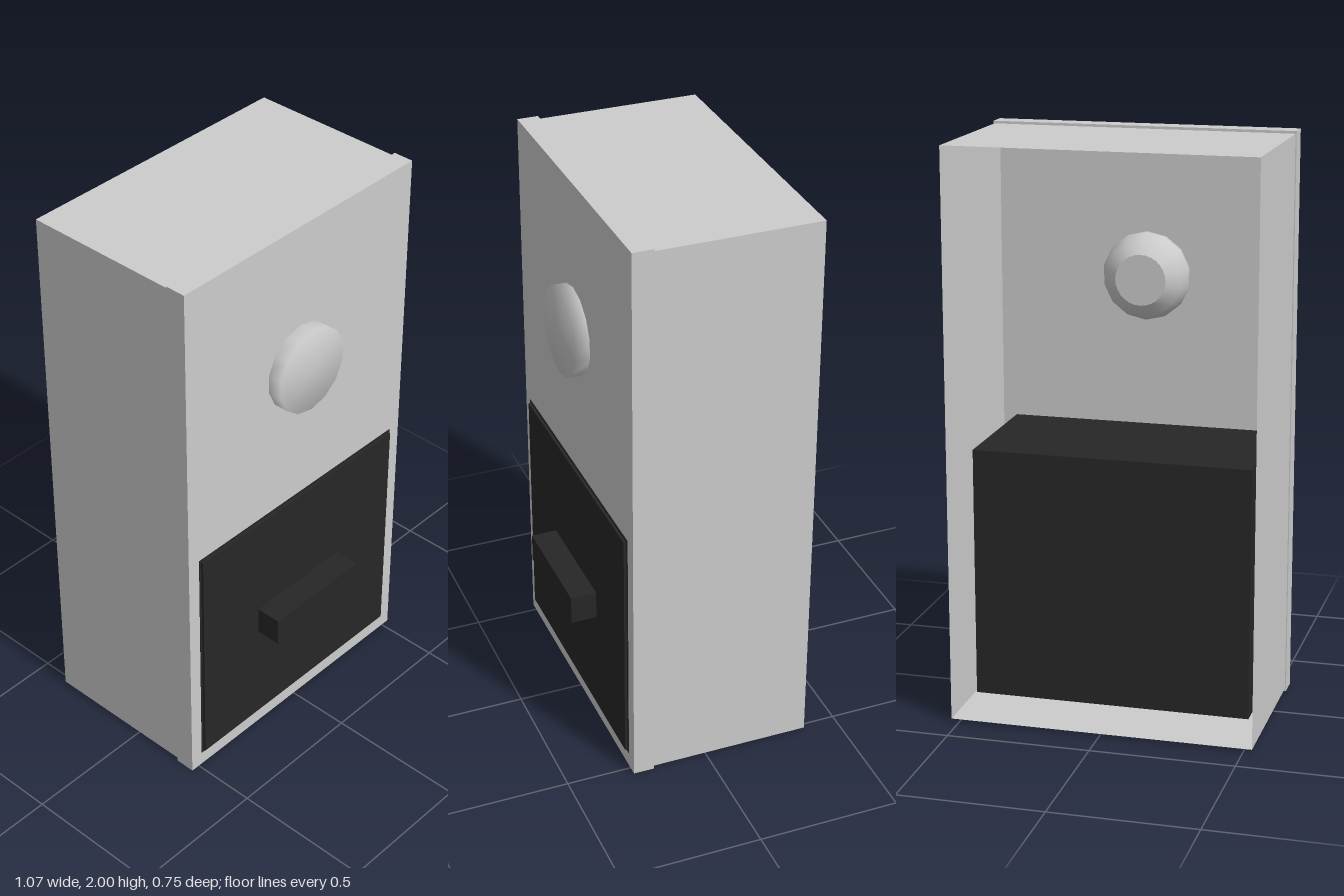
import * as THREE from 'three';

const grey = new THREE.MeshStandardMaterial({ color: 0xcccccc, side: THREE.DoubleSide });
grey.name = 'cabinet grey';
const black = new THREE.MeshStandardMaterial({ color: 0x272727 });
black.name = 'drawer black';

function mesh(name, geometry, material) {
  const m = new THREE.Mesh(geometry, material);
  m.name = name;
  return m;
}

// Box given by its half width and its y and z ranges; keeps the first `faces` sides
// in the order +x, -x, +y, -y, +z, -z.
function box(halfWidth, y0, y1, z0, z1, faces = 6) {
  const g = new THREE.BoxGeometry(halfWidth * 2, y1 - y0, z1 - z0);
  g.translate(0, (y0 + y1) / 2, (z0 + z1) / 2);
  g.setIndex(Array.from(g.index.array).slice(0, faces * 6));
  g.clearGroups();
  return g;
}

// Flat rectangular path, for the rim and its opening
function rectangle(path, w, y0, y1) {
  path.moveTo(-w, y0);
  path.lineTo(w, y0);
  path.lineTo(w, y1);
  path.lineTo(-w, y1);
  path.closePath();
  return path;
}

export function createModel() {
  const model = new THREE.Group();
  model.name = 'cabinet';

  // Thin-walled body, open at the back, with a slightly larger front cover
  model.add(mesh('bodyShell', box(0.529, 0.009, 1.991, -0.374, 0.197, 4), grey));
  model.add(mesh('frontCover', box(0.533, 0, 2, 0.197, 0.27, 5), grey));
  const rim = rectangle(new THREE.Shape(), 0.533, 0, 2);
  rim.holes.push(rectangle(new THREE.Path(), 0.529, 0.009, 1.991));
  const rimGeometry = new THREE.ShapeGeometry(rim);
  rimGeometry.translate(0, 0, 0.197);
  model.add(mesh('coverRim', rimGeometry, grey));

  // Drawer: deep box behind the cover, a thin border and a raised front
  const drawer = new THREE.Group();
  drawer.name = 'drawer';
  drawer.add(mesh('drawerBox', box(0.485, 0.055, 0.935, -0.227, 0.272), black));
  drawer.add(mesh('drawerFront', box(0.477, 0.065, 0.926, 0.27, 0.281), black));
  const handle = box(0.206, 0.445, 0.548, 0.275, 0.372);
  drawer.add(mesh('drawerHandle', handle, black));
  model.add(drawer);

  // Round knob with softened front edge, tapering to a flat stub inside
  const profile = [[0, 0.322], [0.155, 0.322], [0.155, 0.25], [0.135, 0.205], [0.09, 0.17]]
    .map(([r, z]) => new THREE.Vector2(r, z)).reverse();
  const knob = new THREE.Group();
  knob.name = 'knob';
  const knobGeometry = new THREE.LatheGeometry(profile, 14);
  knobGeometry.rotateX(Math.PI / 2);
  knob.add(mesh('knobBody', knobGeometry, grey));
  const stub = new THREE.CircleGeometry(0.09, 14);
  stub.rotateY(Math.PI);
  stub.translate(0, 0, 0.17);
  knob.add(mesh('knobBackCap', stub, grey));
  knob.position.y = 1.47;
  model.add(knob);

  return model;
}
